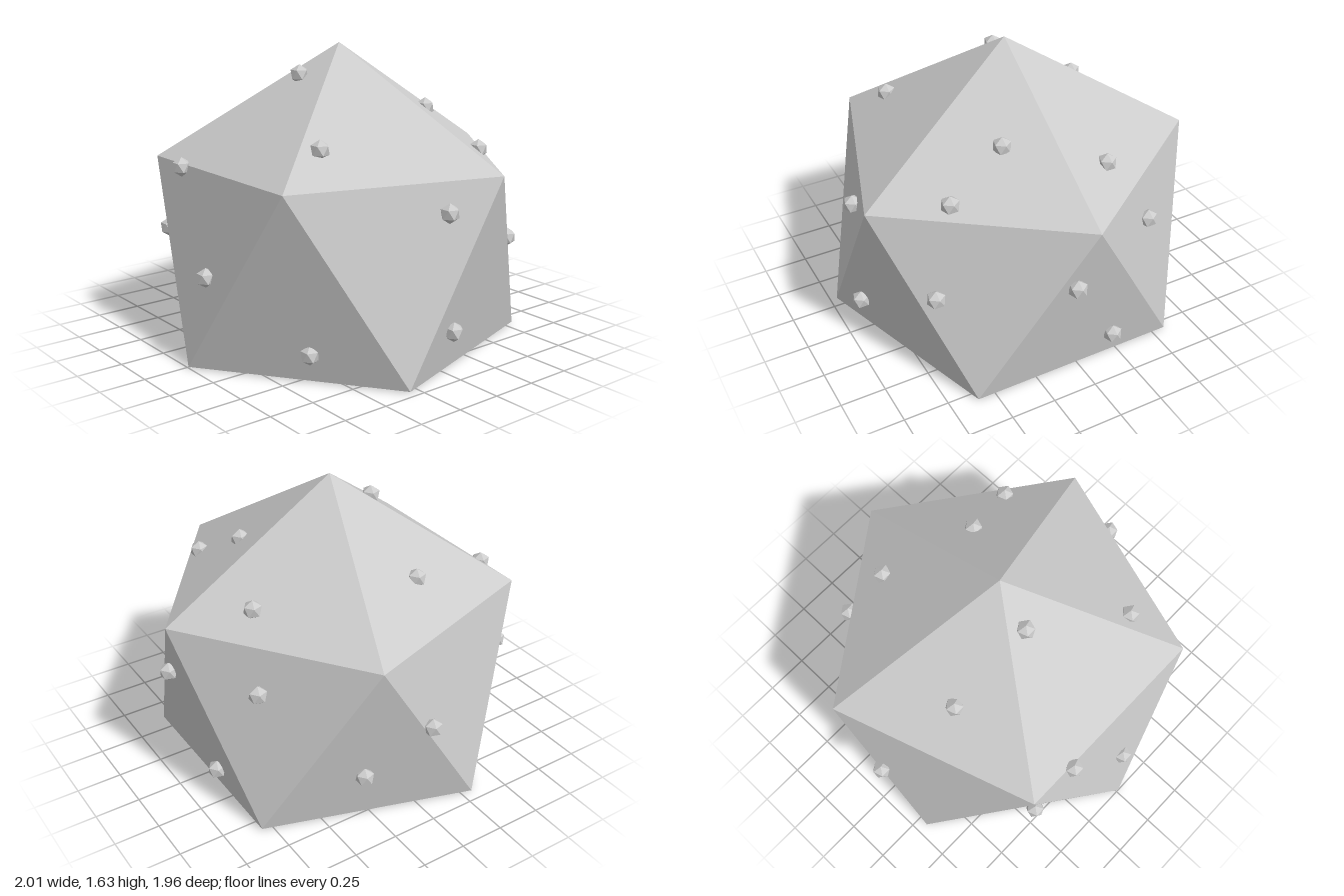
import * as THREE from 'three';

// Icosahedron standing on one corner, with an upper-ring corner on +x
function icosahedron(radius) {
  const g = new THREE.IcosahedronGeometry(radius, 0);
  g.rotateX(-Math.atan((1 + Math.sqrt(5)) / 2));
  g.rotateY(Math.PI / 2);
  return g;
}

export function createModel() {
  const model = new THREE.Group();
  const material = new THREE.MeshStandardMaterial({ color: 0xcccccc, flatShading: true });

  // Body: the lowest corner is pushed up to make an almost flat base
  const bodyGeometry = icosahedron(Math.sqrt(5) / 2);
  const p = bodyGeometry.attributes.position;
  for (let i = 0; i < p.count; i++) p.setY(i, Math.max(p.getY(i), -0.507));
  bodyGeometry.computeVertexNormals();
  const body = new THREE.Mesh(bodyGeometry, material);
  body.name = 'body';
  body.position.set(0, 0.507, 0.012);
  model.add(body);

  // Small studs scattered over the faces
  const studs = new THREE.Group();
  studs.name = 'studs';
  const studGeometry = icosahedron(0.053);
  const places = [
    // upper cap
    [-0.23, 1.465, -0.04], [-0.5, 1.17, 0.49], [0.42, 1.26, 0.25],
    [0.505, 1.065, 0.585], [-0.19, 1.19, -0.52], [0.63, 1.13, -0.245],
    // faces pointing down
    [-0.825, 0.995, -0.29], [-0.915, 0.49, 0.07], [-0.015, 0.855, 0.91],
    [0.6, 0.585, 0.725], [0.735, 0.77, -0.455], [-0.005, 0.57, -0.945],
    // faces pointing up
    [0.96, 0.675, 0.11], [0.86, 0.17, -0.19], [0.02, 0.23, 0.925],
    [-0.63, 0.155, 0.57], [0.32, 0.3, -0.81], [-0.78, 0.61, -0.52],
  ];
  for (const place of places) {
    const stud = new THREE.Mesh(studGeometry, material);
    stud.name = 'stud';
    stud.position.set(...place);
    studs.add(stud);
  }
  model.add(studs);
  return model;
}
